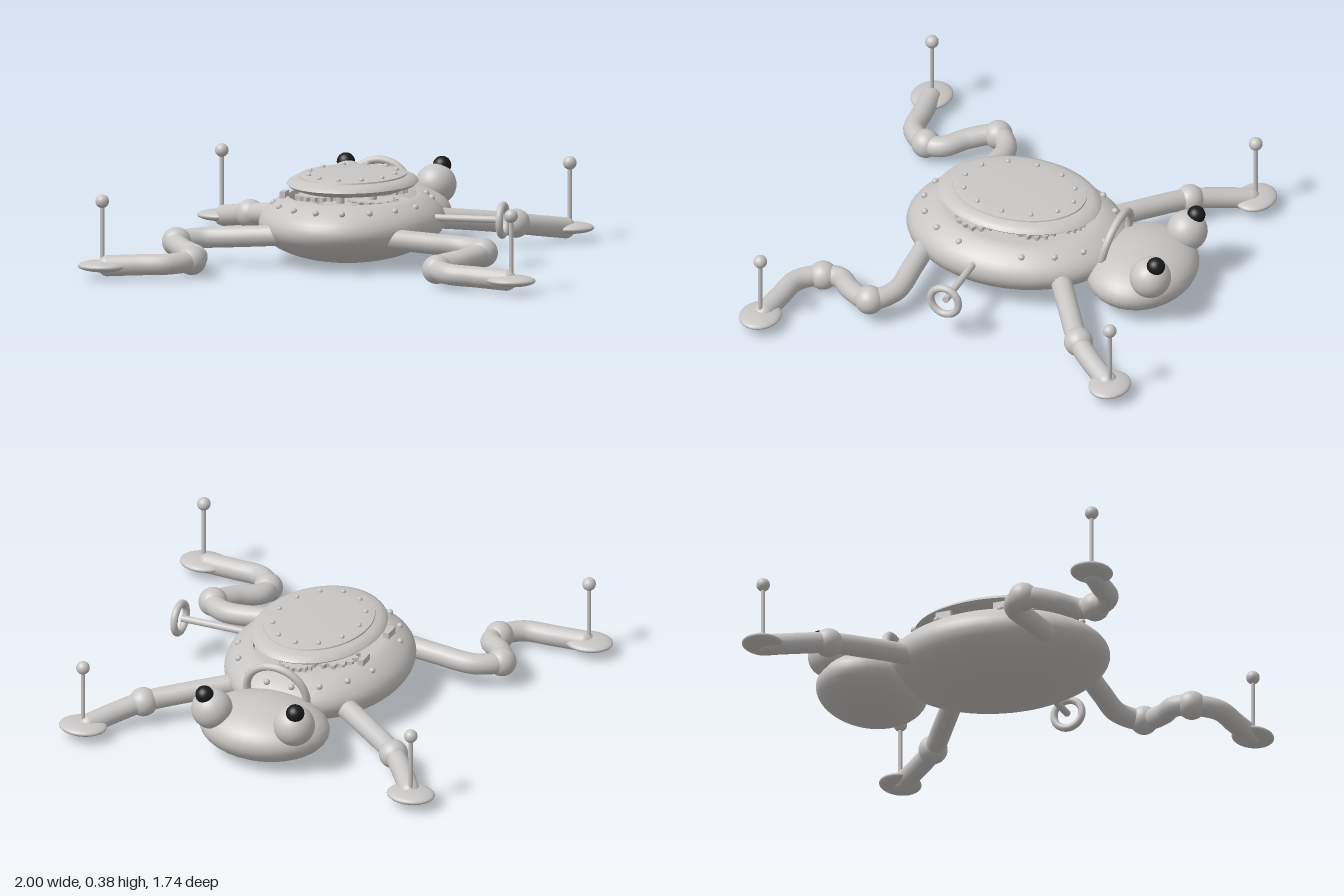
import * as THREE from 'three';
import { toCreasedNormals } from 'three/addons/utils/BufferGeometryUtils.js';

export function createModel() {
  const root = new THREE.Group();
  root.name = 'mechanicalFrog';
  const metal = new THREE.MeshStandardMaterial({ color: 0xc8c6c4 });
  metal.name = 'paleMetal';
  const black = new THREE.MeshStandardMaterial({ color: 0x1a1a1a });
  black.name = 'pupilBlack';

  const add = (name, geo, pos = [0, 0, 0], parent = root, mat = metal) => {
    const m = new THREE.Mesh(geo, mat);
    m.name = name;
    m.position.set(...pos);
    parent.add(m);
    return m;
  };
  const ball = (name, r, pos, parent = root, mat = metal, scale = [1, 1, 1]) => {
    const m = add(name, new THREE.SphereGeometry(r, r > 0.02 ? 32 : 10, r > 0.02 ? 20 : 8), pos, parent, mat);
    m.scale.set(...scale);
    return m;
  };
  // Elliptical lathe; profile runs from bottom to top with unit radius
  const ovalLathe = (pts, rx, rz) => {
    const g = new THREE.LatheGeometry(pts.map(p => new THREE.Vector2(...p)), 64);
    g.scale(rx, 1, rz);
    return toCreasedNormals(g, 0.6);
  };
  const rivetRing = (name, angles, rx, rz, y, cz, r) => {
    const g = new THREE.Group();
    g.name = name;
    root.add(g);
    for (const a of angles) {
      ball('rivet', r, [rx * Math.sin(a), y, cz + rz * Math.cos(a)], g);
    }
  };
  const deg = Math.PI / 180;

  // Body shell: ellipsoid cut open at the top, with a recessed floor
  const shell = [];
  const topAngle = Math.asin(0.11 / 0.16);
  for (let i = 0; i <= 16; i++) {
    const a = -Math.PI / 2 * (1 - i / 16);
    shell.push([i ? Math.cos(a) : 0, 0.17 + 0.167 * Math.sin(a)]);
  }
  for (let i = 1; i <= 6; i++) {
    const a = topAngle * i / 6;
    shell.push([Math.cos(a), 0.17 + 0.16 * Math.sin(a)]);
  }
  shell.push([0.69, 0.28], [0.68, 0.235], [0, 0.235]);
  const bodyGeo = ovalLathe(shell, 0.39, 0.485);
  // The upper part leans slightly towards the head
  const bp = bodyGeo.attributes.position;
  for (let i = 0; i < bp.count; i++) bp.setZ(i, bp.getZ(i) - 0.11 * bp.getY(i));
  add('body', bodyGeo);

  // Rivets round the deck, leaving gaps at the crank and hinge sides
  const deckAngles = [];
  for (let i = 0; i < 18; i++) {
    const a = 10 + i * 20;
    if (a !== 90 && a !== 270) deckAngles.push(a * deg);
  }
  rivetRing('deckRivets', deckAngles, 0.33, 0.425, 0.254, -0.03, 0.014);

  // Raised lid
  add('lid', ovalLathe([[0, 0.29], [0.5, 0.294], [0.8, 0.306], [0.95, 0.321], [1, 0.333],
    [0.97, 0.345], [0.9, 0.355], [0.82, 0.362], [0.815, 0.368], [0.6, 0.373], [0, 0.376]],
    0.275, 0.36), [0, 0, -0.028]);
  rivetRing('lidRivets', Array.from({ length: 12 }, (_, i) => i * 30 * deg), 0.185, 0.25, 0.373, -0.028, 0.011);

  // Clockwork between body and lid
  const gearGeo = (r, teeth, depth) => {
    const s = new THREE.Shape();
    for (let i = 0; i < teeth * 4; i++) {
      const a = i / (teeth * 4) * Math.PI * 2, q = i % 4 < 2 ? r : r * 0.84;
      s[i ? 'lineTo' : 'moveTo'](q * Math.cos(a), q * Math.sin(a));
    }
    const g = new THREE.ExtrudeGeometry(s, { depth, bevelEnabled: false });
    g.rotateX(-Math.PI / 2);
    return g;
  };
  const works = new THREE.Group();
  works.name = 'clockwork';
  root.add(works);
  for (const [x, y, z, r] of [[0.12, 0.262, 0.1, 0.11], [-0.12, 0.272, 0.09, 0.1], [0.1, 0.275, -0.15, 0.11],
    [-0.11, 0.262, -0.14, 0.12], [0, 0.254, 0.19, 0.09], [0, 0.254, -0.25, 0.08]]) {
    add('gear', gearGeo(r, 16, 0.018), [x, y, z], works);
    add('gearPost', new THREE.CylinderGeometry(0.018, 0.018, 0.08, 12), [x, 0.27, z], works);
  }

  // Lid hinges
  for (const z of [-0.16, 0.105]) {
    add('hinge', new THREE.BoxGeometry(0.025, 0.03, 0.07), [-0.265, 0.29, z]);
  }

  // Winding key
  const shaft = add('keyShaft', new THREE.CylinderGeometry(0.015, 0.015, 0.32, 16), [0.5, 0.2, 0.022]);
  shaft.rotation.z = Math.PI / 2;
  const ring = add('keyRing', new THREE.TorusGeometry(0.064, 0.016, 14, 40), [0.668, 0.2, 0.022]);
  ring.rotation.y = Math.PI / 2;

  // Head and neck ring
  ball('head', 1, [0, 0.132, -0.6], root, metal, [0.285, 0.124, 0.23]);
  const neck = add('neckRing', new THREE.TorusGeometry(0.138, 0.017, 14, 48), [0, 0.225, -0.473]);
  neck.rotation.x = -0.2;

  // Paired eyes and legs
  for (const s of [1, -1]) {
    const side = s > 0 ? 'left' : 'right';
    ball(side + 'Eye', 0.088, [s * 0.191, 0.23, -0.72]);
    ball(side + 'Pupil', 0.039, [s * 0.21, 0.308, -0.754], root, black);

    const leg = (name, path, joints, foot) => {
      const g = new THREE.Group();
      g.name = side + name;
      root.add(g);
      const curve = new THREE.CatmullRomCurve3(path.map(([x, y, z]) => new THREE.Vector3(s * x, y, z)));
      add('limb', new THREE.TubeGeometry(curve, 64, 0.045, 18), [0, 0, 0], g);
      for (const [x, y, z] of joints) ball('joint', 0.062, [s * x, y, z], g);
      const [x, z] = foot;
      const end = path[path.length - 1];
      ball('limbEnd', 0.045, [s * end[0], end[1], end[2]], g);
      ball('footPad', 1, [s * x, 0.056, z], g, metal, [0.105, 0.025, 0.088]);
      add('footPin', new THREE.CylinderGeometry(0.009, 0.009, 0.27, 10), [s * x, 0.195, z], g);
      ball('pinKnob', 0.029, [s * x, 0.333, z], g);
    };
    leg('FrontLeg',
      [[0.22, 0.15, -0.31], [0.42, 0.125, -0.445], [0.58, 0.1, -0.56], [0.66, 0.08, -0.65], [0.745, 0.057, -0.765]],
      [[0.58, 0.1, -0.56]], [0.76, -0.785]);
    leg('HindLeg',
      [[0.2, 0.145, 0.3], [0.4, 0.13, 0.29], [0.58, 0.118, 0.292], [0.67, 0.11, 0.37], [0.615, 0.095, 0.48],
        [0.53, 0.08, 0.57], [0.535, 0.073, 0.65], [0.61, 0.068, 0.735], [0.74, 0.063, 0.755], [0.87, 0.057, 0.773]],
      [[0.67, 0.11, 0.37], [0.535, 0.073, 0.645]], [0.893, 0.777]);
  }
  return root;
}
